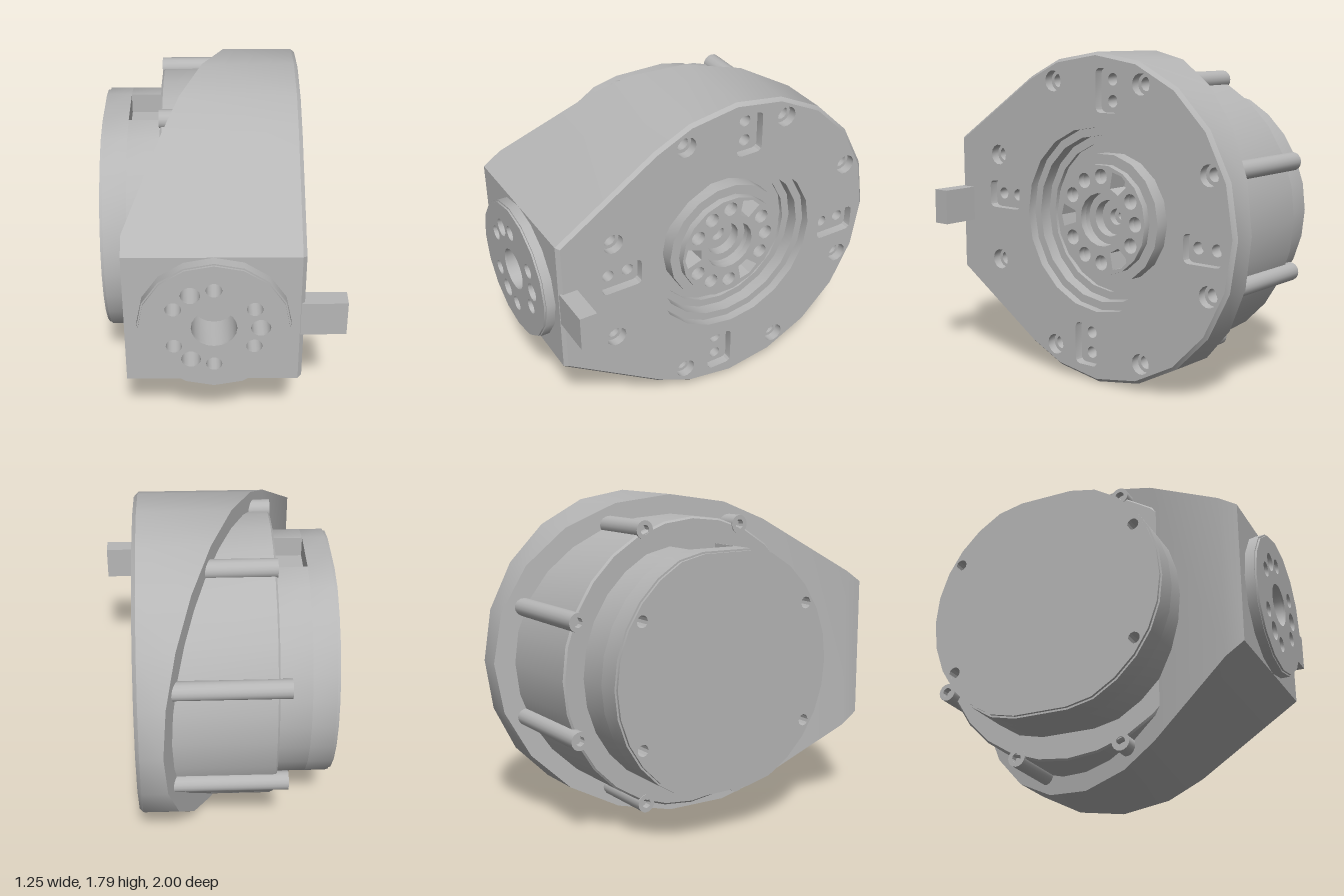
import * as THREE from 'three';
import { toCreasedNormals } from 'three/addons/utils/BufferGeometryUtils.js';

const CY = 0.9, CZ = -0.105, R = 0.895;      // main axis runs along x through (CY, CZ)
const FRONT = 0.94, FACE = 0.41, CHAMFER = 0.02;

export function createModel() {
  const group = new THREE.Group();
  const metal = new THREE.MeshStandardMaterial({ color: 0xb6b6b6, side: THREE.DoubleSide });
  metal.name = 'greyMetal';

  const add = (name, geo, x = 0, y = 0, z = 0) => {
    const mesh = new THREE.Mesh(toCreasedNormals(geo, 0.5), metal);
    mesh.name = name;
    mesh.position.set(x, y, z);
    group.add(mesh);
    return mesh;
  };
  const v2 = (x, y) => new THREE.Vector2(x, y);
  const polar = (r, deg) => v2(r * Math.cos(deg * Math.PI / 180), r * Math.sin(deg * Math.PI / 180));
  // regular polygon loop
  const circle = (r, x = 0, y = 0, n = 14) =>
    Array.from({ length: n }, (_, i) => polar(r, i * 360 / n).add(v2(x, y)));
  const shapeOf = (outline, holes = []) => {
    const s = new THREE.Shape(outline);
    s.holes = holes.map(h => new THREE.Path(h));
    return s;
  };
  // extrudes a (-z, y) outline, centred on the main axis, from x0 to x1
  const slab = (name, outline, holes, x0, x1) => {
    const g = new THREE.ExtrudeGeometry(shapeOf(outline, holes), { depth: x1 - x0, bevelEnabled: false });
    return add(name, g.rotateY(Math.PI / 2), x0, CY, CZ);
  };
  // revolves [radius, x] points about the main axis
  const turned = (name, pts, n) =>
    add(name, new THREE.LatheGeometry(pts.map(p => v2(...p)), n).rotateZ(-Math.PI / 2), 0, CY, CZ);

  // --- Body: teardrop outline as [z, half height] slices from front to back
  const slope = z => Math.max(-0.49, 0.27 - 0.413 * (z + 1));
  const tangent = [57.4, 72, 90, 108, 126, 144, 162, 180].map(a => {
    const p = polar(R, a);
    return [CZ + p.x, Math.max(p.y, 0)];
  });
  const t = 0.1 / (FRONT - tangent[0][0]);
  const slices = [[FRONT, 0.385], [0.84, 0.385 + t * (tangent[0][1] - 0.385)], ...tangent];
  const outline = [
    ...slices.map(([z, h]) => [z, -h]),
    ...slices.slice(0, -1).reverse(),
  ];
  const pos = [];
  const quad = (a, b, c, d) => pos.push(...a, ...b, ...c, ...a, ...c, ...d);
  const left = ([z, h]) => [slope(z), CY + h, z];
  const right = ([z, h]) => [FACE - CHAMFER, CY + h, z];
  const inner = ([z, h]) => [FACE, CY + h * 0.98, z * 0.98];
  outline.forEach((p, i) => {
    const q = outline[(i + 1) % outline.length];
    if (i < outline.length - 1) quad(left(p), left(q), right(q), right(p));
    quad(right(p), right(q), inner(q), inner(p));
  });
  // slanted left side
  for (let i = 0; i < slices.length - 1; i++) {
    const [a, b] = [slices[i], slices[i + 1]];
    quad(left([a[0], -a[1]]), left(a), left(b), left([b[0], -b[1]]));
  }
  const shell = new THREE.BufferGeometry();
  shell.setAttribute('position', new THREE.Float32BufferAttribute(pos, 3));
  add('bodyShell', shell);

  // --- Mounting face: stacked plates give pockets, counterbores and the hub recess
  const faceOutline = outline.map(([z, h]) => v2(-z * 0.98 + CZ, h * 0.98));
  const boltAngles = Array.from({ length: 8 }, (_, i) => 22.5 + 45 * i);
  const bolts = boltAngles.map(a => polar(0.795, a));
  const pockets = [[0.077, 0.695, 0], [-0.69, 0.075, 1], [0.695, -0.075, 1], [-0.077, -0.695, 0]];
  const roundRect = (cx, cy, w, h, r = 0.03) => [[1, 1, 0], [-1, 1, 90], [-1, -1, 180], [1, -1, 270]]
    .flatMap(([sx, sy, a]) => [0, 30, 60, 90].map(d =>
      polar(r, a + d).add(v2(cx + sx * (w - r), cy + sy * (h - r)))));
  const pocketLoops = pockets.map(([x, y, flat]) =>
    roundRect(x, y, flat ? 0.117 : 0.077, flat ? 0.077 : 0.117));
  const pinLoops = pockets.flatMap(([x, y, flat]) => [-0.057, 0.057].map(d =>
    circle(0.033, x + (flat ? d : 0), y + (flat ? 0 : d))));
  slab('mountingFace', faceOutline,
    [circle(0.5, 0, 0, 20), ...pocketLoops, ...bolts.map(b => circle(0.057, b.x, b.y))], 0.36, FACE);
  slab('pocketFloor', faceOutline,
    [circle(0.455, 0, 0, 20), ...pinLoops, ...bolts.map(b => circle(0.037, b.x, b.y))], 0.29, 0.36);
  slab('boltHoleFloor', faceOutline, [circle(0.41, 0, 0, 20)], 0.28, 0.29);

  // --- Hub recess with stepped bore, and output hub
  turned('hubRecess', [[0, 0.17], [0.02, 0.17], [0.02, 0.2], [0.045, 0.2], [0.045, 0.24], [0.1, 0.24],
    [0.1, 0.3], [0.145, 0.3], [0.145, 0.25], [0.42, 0.25], [0.42, 0.28]], 20);
  const hubHoles = [circle(0.145, 0, 0, 18)];
  for (let a = 0; a < 360; a += 30) {
    if (a % 120 === 60) {       // wedge pockets between the bolt holes
      hubHoles.push([polar(0.185, a - 10), polar(0.275, a - 13), polar(0.285, a),
        polar(0.275, a + 13), polar(0.185, a + 10)]);
    } else {
      const p = polar(0.235, a);
      hubHoles.push(circle(0.042, p.x, p.y));
    }
  }
  slab('hubBase', circle(0.355, 0, 0, 18), hubHoles, 0.24, 0.33);
  slab('hubFace', circle(0.3, 0, 0, 18), hubHoles, 0.33, 0.37);

  // --- Rear drum with bolt columns around it
  turned('rearDrum', [[0, -0.315], [0.78, -0.315], [0.79, -0.305], [0.79, 0.27]], 28);
  bolts.forEach(b => {
    const start = Math.abs(b.x) > 0.5 ? -0.374 : -0.32;
    slab('boltColumn', circle(0.05, b.x, b.y, 16), [circle(0.026, b.x, b.y, 12)], start, 0.27);
    slab('columnScrew', circle(0.027, b.x, b.y, 12), [], start + 0.04, 0.2);
  });

  // --- End cap, flattened top and bottom, with a connector slot in the top
  const capOutline = (r, notch) => circle(r, 0, 0, 28).flatMap((p, i) => {
    if (notch && i === 7) return [v2(0.145, 0.64), v2(0.145, 0.53), v2(-0.145, 0.53), v2(-0.145, 0.64)];
    return [v2(p.x, THREE.MathUtils.clamp(p.y, r - 1.315 < -0.645 ? -0.63 : -0.64, r < 0.67 ? 0.63 : 0.64))];
  });
  const capHoles = [32, 148, 212, 328].map(a => {
    const p = polar(0.615, a);
    return circle(0.032, p.x, p.y, 12);
  });
  slab('capRim', capOutline(0.665, false), capHoles, -0.63, -0.615);
  slab('capWall', capOutline(0.675, false), capHoles, -0.615, -0.49);
  slab('capBase', capOutline(0.675, true), [], -0.49, -0.31);

  // --- Front panel and round flange
  const panel = shapeOf([v2(-0.49, 0.515), v2(FACE - CHAMFER, 0.515), v2(FACE - CHAMFER, 1.285), v2(-0.49, 1.285)],
    [circle(0.35, -0.04, CY, 16)]);
  add('frontPanel', new THREE.ShapeGeometry(panel), 0, 0, FRONT);
  const flangeHoles = [circle(0.115, 0, 0, 20)];
  for (const a of [0, 30, 90, 120, 150, 210, 240, 270, 330]) {
    const p = polar(0.232, a);
    flangeHoles.push(circle(a % 120 === 0 ? 0.05 : 0.041, p.x, p.y));
  }
  const ring = (name, r, z0, z1) => add(name, new THREE.ExtrudeGeometry(
    shapeOf(circle(r, 0, 0, 16), flangeHoles), { depth: z1 - z0, bevelEnabled: false }), -0.04, CY, z0);
  ring('frontFlange', 0.385, 0.8, 0.99);
  ring('flangeRim', 0.377, 0.99, 1.0);
  add('flangeFloor', new THREE.CircleGeometry(0.36, 16), -0.04, CY, 0.81);

  // --- Side tab
  add('sideTab', new THREE.BoxGeometry(0.24, 0.195, 0.095), 0.505, 0.902, 0.89);

  return group;
}
